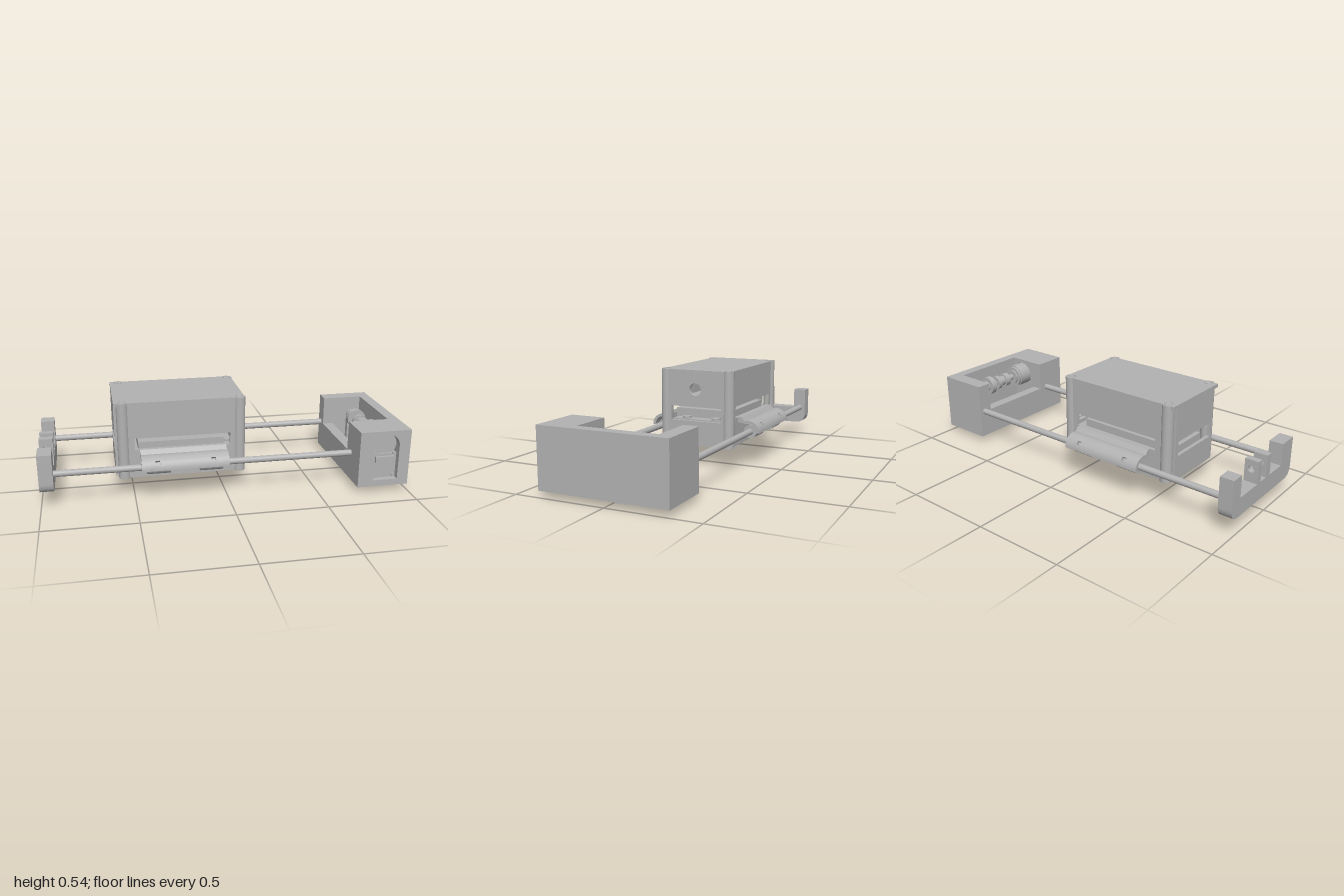
import * as THREE from 'three';
import { toCreasedNormals } from 'three/addons/utils/BufferGeometryUtils.js';

export function createModel() {
  const model = new THREE.Group();
  const grey = new THREE.MeshStandardMaterial({ color: 0xb2b2b2 });
  grey.name = 'plain grey';

  const add = (name, geo, parent = model) => {
    const m = new THREE.Mesh(geo, grey);
    m.name = name;
    parent.add(m);
    return m;
  };
  const group = (name) => {
    const g = new THREE.Group();
    g.name = name;
    model.add(g);
    return g;
  };
  // box from its limits
  const box = (name, x0, x1, y0, y1, z0, z1, parent) =>
    add(name, new THREE.BoxGeometry(x1 - x0, y1 - y0, z1 - z0)
      .translate((x0 + x1) / 2, (y0 + y1) / 2, (z0 + z1) / 2), parent);
  // cylinder from a to b along one axis; p and q are the other two coordinates
  const rod = (name, axis, r, a, b, p, q, parent) => {
    const g = new THREE.CylinderGeometry(r, r, b - a, 32);
    const c = (a + b) / 2;
    if (axis === 'x') g.rotateZ(Math.PI / 2).translate(c, p, q);
    if (axis === 'y') g.translate(p, c, q);
    if (axis === 'z') g.rotateX(Math.PI / 2).translate(p, q, c);
    return add(name, g, parent);
  };
  const poly = (pts) => new THREE.Shape(pts.map(([x, y]) => new THREE.Vector2(x, y)));
  const rect = (x0, x1, y0, y1) => poly([[x0, y0], [x1, y0], [x1, y1], [x0, y1]]);
  const circle = (x, y, r) => new THREE.Path().absarc(x, y, r, 0, Math.PI * 2, true);
  const extrude = (shape, depth) => toCreasedNormals(
    new THREE.ExtrudeGeometry(shape, { depth, bevelEnabled: false, curveSegments: 16 }), 0.5);
  // shapes drawn in (x, y), (-z, y) and (x, -z) respectively
  const alongZ = (name, s, z0, z1, p) => add(name, extrude(s, z1 - z0).translate(0, 0, z0), p);
  const alongX = (name, s, x0, x1, p) =>
    add(name, extrude(s, x1 - x0).rotateY(Math.PI / 2).translate(x0, 0, 0), p);
  const alongY = (name, s, y0, y1, p) =>
    add(name, extrude(s, y1 - y0).rotateX(-Math.PI / 2).translate(0, y0, 0), p);

  const railY = 0.19, railZ = [0.23, -0.305];

  // guide rails
  railZ.forEach((z) => rod('guideRail', 'x', 0.0175, -0.93, 0.73, railY, z));

  // idler end bracket
  const end = group('endBracket');
  const r = 0.06;
  const u = new THREE.Shape();
  u.moveTo(-0.27, 0.31);
  u.lineTo(-0.27, 0.09 + r);
  u.quadraticCurveTo(-0.27, 0.09, -0.27 + r, 0.09);
  u.lineTo(0.34 - r, 0.09);
  u.quadraticCurveTo(0.34, 0.09, 0.34, 0.09 + r);
  u.lineTo(0.34, 0.31);
  u.lineTo(0.265, 0.31);
  u.lineTo(0.265, 0.19);
  u.lineTo(-0.155, 0.19);
  u.lineTo(-0.155, 0.31);
  alongX('endFrame', u, -1, -0.925, end);
  [[-0.1, -0.065], [-0.01, 0.03]].forEach(([z0, z1]) => {
    const lug = rect(-1, -0.925, 0.18, 0.31);
    lug.holes.push(circle(-0.962, 0.26, 0.018));
    alongZ('pulleyLug', lug, z0, z1, end);
  });

  // carriage housing
  const car = group('carriage');
  alongY('housingLid', rect(-0.595, 0.11, -0.175, 0.24), 0.515, 0.535, car);
  const slotted = rect(-0.57, 0.1, 0.115, 0.52);
  slotted.holes.push(rect(-0.49, 0.03, 0.27, 0.335));
  alongZ('frontPanel', slotted, 0.155, 0.175, car);
  alongZ('backPanel', slotted, -0.24, -0.22, car);
  const side = (hole) => {
    const s = rect(-0.14, 0.21, 0.115, 0.52);
    s.holes.push(rect(-0.12, 0.185, 0.25, 0.33));
    if (hole) s.holes.push(circle(0.03, 0.427, 0.035));
    return s;
  };
  alongX('rightPanel', side(true), 0.09, 0.11, car);
  alongX('leftPanel', side(false), -0.595, -0.575, car);
  box('innerDeck', -0.56, 0.08, 0.335, 0.35, -0.225, 0.16, car);
  [-0.55, 0.083].forEach((x) => [-0.22, 0.157].forEach((z) => {
    rod('cornerPillar', 'y', 0.032, 0.11, 0.535, x, z, car);
    add('pillarScrew', new THREE.TorusGeometry(0.02, 0.003, 6, 24)
      .rotateX(Math.PI / 2).translate(x, 0.535, z), car);
  }));

  // drilled base plate
  const base = rect(-0.58, 0.1, -0.17, 0.235);
  for (const x of [-0.46, -0.36, -0.12, -0.02]) {
    for (const z of [-0.16, 0.1]) base.holes.push(circle(x, -z, 0.013));
  }
  for (const x of [-0.42, -0.24, -0.06]) {
    base.holes.push(rect(x - 0.04, x + 0.04, 0.08, 0.095));
    base.holes.push(rect(x - 0.04, x + 0.04, -0.03, -0.015));
  }
  alongY('basePlate', base, 0.11, 0.13, car);

  // inner mechanism seen through the slots
  box('innerBlock', -0.53, 0.06, 0.15, 0.25, -0.19, 0.13, car);
  box('innerStrip', -0.47, 0.0, 0.25, 0.3, -0.2, 0.14, car);
  for (const x of [-0.34, -0.15]) {
    rod('innerRoller', 'y', 0.06, 0.305, 0.318, x, -0.03, car);
    rod('rollerPost', 'y', 0.02, 0.29, 0.335, x, -0.03, car);
  }
  box('centrePost', -0.265, -0.225, 0.29, 0.335, -0.06, 0.0, car);
  for (const z of [-0.12, 0.06]) {
    rod('blockBoss', 'y', 0.025, 0.25, 0.262, 0.03, z, car);
  }

  // curved bearing covers with small windows, and linear bearings below them
  const R = 0.066, t = 0.016;
  const coverPiece = (a0, a1, flange, dir, z, x0, x1) => {
    const s = new THREE.Shape();
    const P = (a, q) => [-dir * Math.cos(a) * q, Math.sin(a) * q];
    const n = 14, pts = [];
    for (let i = 0; i <= n; i++) pts.push(P(a0 + (a1 - a0) * i / n, R));
    if (flange) pts.push([dir * 0.04, 0.085], [dir * 0.06, 0.085], [dir * 0.06, 0.055]);
    for (let i = n; i >= 0; i--) pts.push(P(a0 + (a1 - a0) * i / n, R - t));
    pts.forEach(([a, b], i) => s[i ? 'lineTo' : 'moveTo'](a - z, b + railY));
    alongX('bearingCover', s, x0, x1, car);
  };
  railZ.forEach((z, k) => {
    const dir = k ? -1 : 1;
    const w = [-0.465, -0.392, -0.368, -0.092, -0.068, 0.005];
    for (let i = 0; i < 5; i++) {
      if (i % 2) {
        coverPiece(0, 0.55, false, dir, z, w[i], w[i + 1]);
        coverPiece(0.85, 1.9, true, dir, z, w[i], w[i + 1]);
      } else coverPiece(0, 1.9, true, dir, z, w[i], w[i + 1]);
    }
    [[-0.435, -0.31], [-0.148, -0.025]].forEach(([a, b]) =>
      rod('linearBearing', 'x', 0.038, a, b, railY, z, car));
  });

  // drive housing
  const drive = group('driveHousing');
  box('housingFloor', 0.71, 1, 0.035, 0.08, -0.34, 0.18, drive);
  box('lowWall', 0.71, 0.77, 0.035, 0.19, -0.27, 0.18, drive);
  box('innerLedge', 0.77, 0.8, 0.07, 0.13, -0.26, 0.175, drive);
  box('outerWall', 0.94, 1, 0.035, 0.355, -0.34, 0.18, drive);
  box('backWall', 0.71, 1, 0.035, 0.355, -0.34, -0.26, drive);
  const cx = 0.867, cy = 0.265;
  const face = rect(0.71, 1, 0.035, 0.355);
  const recess = new THREE.Path();
  recess.moveTo(0.797, 0.07);
  recess.lineTo(0.797, cy);
  recess.absarc(cx, cy, 0.07, Math.PI, 0, true);
  recess.lineTo(0.937, 0.07);
  recess.closePath();
  face.holes.push(recess);
  alongZ('motorBlock', face, 0.175, 0.365, drive);

  // motor in the arched recess
  rod('motorBody', 'z', 0.068, 0.1, 0.325, cx, cy, drive);
  box('motorCase', 0.799, 0.935, 0.072, 0.215, 0.18, 0.335, drive);
  box('motorConnector', 0.812, 0.922, 0.168, 0.2, 0.335, 0.35, drive);
  for (const x of [0.812, 0.922]) for (const y of [0.085, 0.215]) {
    rod('motorScrew', 'z', 0.01, 0.33, 0.345, x, y, drive);
  }

  // shaft, coupling and belt pulley, each as [radius, z from, z to]
  [[0.045, 0.075, 0.1], [0.062, 0.085, 0.115], [0.018, -0.215, 0.09], [0.04, -0.005, 0.03],
    [0.03, -0.045, -0.005], [0.042, -0.07, -0.045], [0.055, -0.14, -0.105],
    [0.032, -0.165, -0.14], [0.028, -0.21, -0.195]].forEach(([q, a, b]) =>
    rod('driveShaftPart', 'z', q, a, b, cx, cy, drive));
  box('shaftSupport', 0.835, 0.9, 0.08, 0.25, -0.2, -0.17, drive);

  // knob and catch under the housing
  rod('underKnob', 'y', 0.06, 0.005, 0.036, cx, -0.032, drive);
  rod('underKnobCap', 'y', 0.044, 0, 0.006, cx, -0.048, drive);
  alongX('underCatch', poly([[-0.072, 0.036], [-0.055, 0.017], [-0.03, 0.017], [-0.03, 0.036]]),
    0.75, 0.78, drive);

  return model;
}
